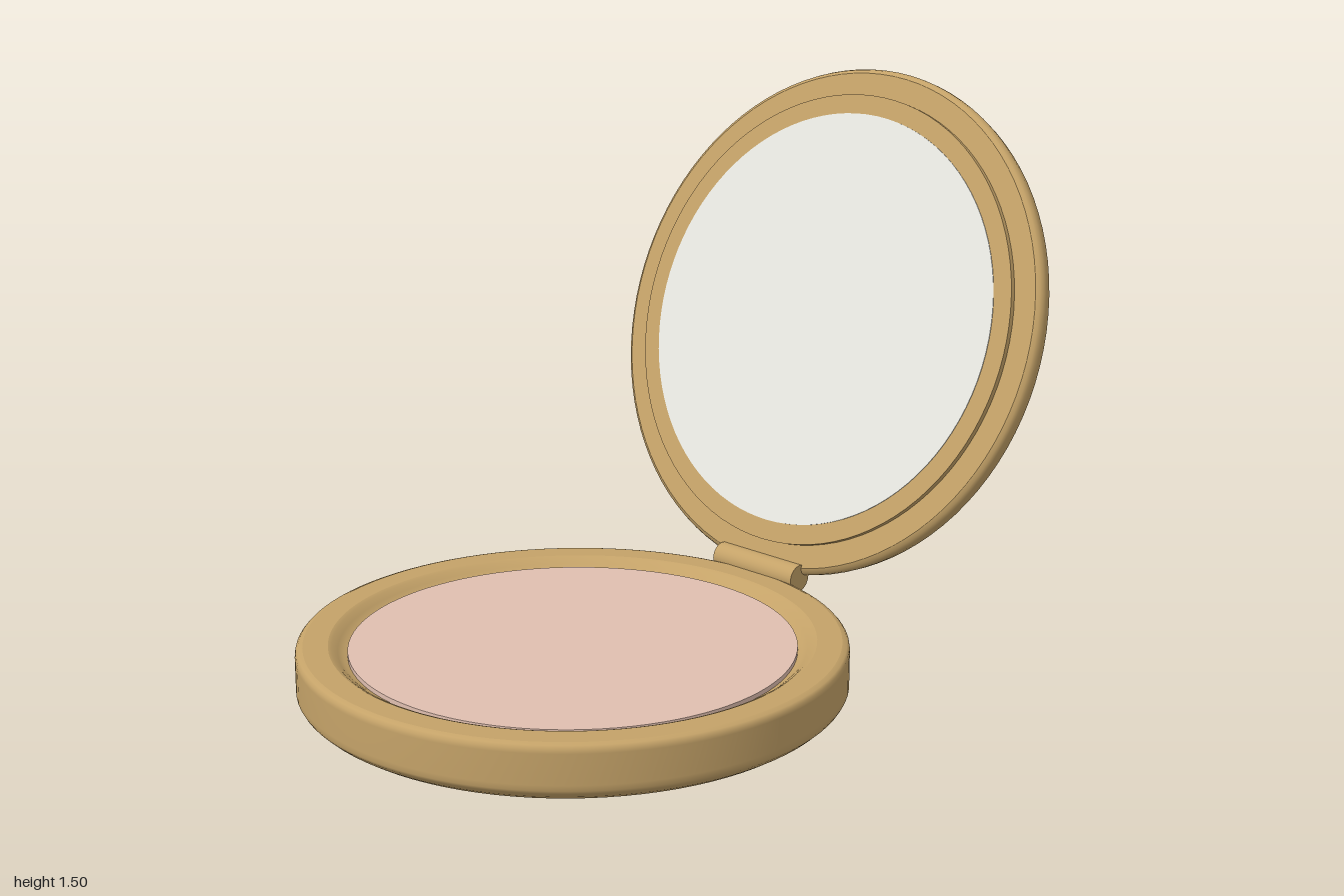
import * as THREE from 'three';
import { mergeGeometries } from 'three/addons/utils/BufferGeometryUtils.js';

const SEGMENTS = 96;
const gold = new THREE.MeshStandardMaterial({ color: 0xc4a268 });
const rose = new THREE.MeshStandardMaterial({ color: 0xe0bfb0 });
const silver = new THREE.MeshStandardMaterial({ color: 0xe8e8e2 });

// Turned part: each section is a smooth run of [radius, y]; edges between sections stay sharp
function turned(name, material, ...sections) {
  const parts = sections.map((pts) =>
    new THREE.LatheGeometry(pts.map(([r, y]) => new THREE.Vector2(r, y)), SEGMENTS));
  const mesh = new THREE.Mesh(mergeGeometries(parts), material);
  mesh.name = name;
  return mesh;
}

// Flat disc with a thin edge
function disc(name, material, radius, bottom, top) {
  return turned(name, material,
    [[0, bottom], [radius, bottom]],
    [[radius, bottom], [radius, top]],
    [[radius, top], [0, top]]);
}

export function createModel() {
  const model = new THREE.Group();
  model.name = 'compactMirror';

  // Base: chamfered underside, softened rim, shallow dished recess holding the powder
  const base = new THREE.Group();
  base.name = 'base';
  base.position.z = 0.28;
  base.add(
    turned('baseCase', gold,
      [[0, 0], [0.68, 0]],
      [[0.68, 0], [0.70, 0.013], [0.715, 0.027], [0.72, 0.036], [0.72, 0.05]],
      [[0.72, 0.05], [0.72, 0.13], [0.718, 0.141], [0.712, 0.148], [0.70, 0.152]],
      [[0.70, 0.152], [0.635, 0.152]],
      [[0.635, 0.152], [0.625, 0.148], [0.61, 0.136], [0.597, 0.125], [0.58, 0.12]],
      [[0.58, 0.12], [0, 0.12]]),
    disc('powder', rose, 0.585, 0.115, 0.134));
  model.add(base);

  // Lid: opened, leaning back 20 degrees; local y points out of the mirror
  const lid = new THREE.Group();
  lid.name = 'lid';
  lid.position.set(0, 0.8375, -0.68);
  lid.rotation.x = THREE.MathUtils.degToRad(70);
  lid.add(
    turned('lidCase', gold,
      [[0, -0.105], [0.64, -0.105]],
      [[0.64, -0.105], [0.675, -0.101], [0.70, -0.086], [0.715, -0.066], [0.72, -0.045],
        [0.72, -0.032], [0.715, -0.021], [0.705, -0.015]],
      [[0.705, -0.015], [0, -0.015]]),
    turned('mirrorFrame', gold,
      [[0.64, -0.018], [0.64, 0]],
      [[0.64, 0], [0.58, 0]],
      [[0.58, 0], [0.58, -0.018]]),
    disc('mirror', silver, 0.585, -0.016, 0.002));
  model.add(lid);

  // Hinge barrel
  const hinge = new THREE.Mesh(new THREE.CylinderGeometry(0.038, 0.038, 0.29, 32), gold);
  hinge.name = 'hinge';
  hinge.rotation.z = Math.PI / 2;
  hinge.position.set(0, 0.157, -0.452);
  model.add(hinge);

  return model;
}
